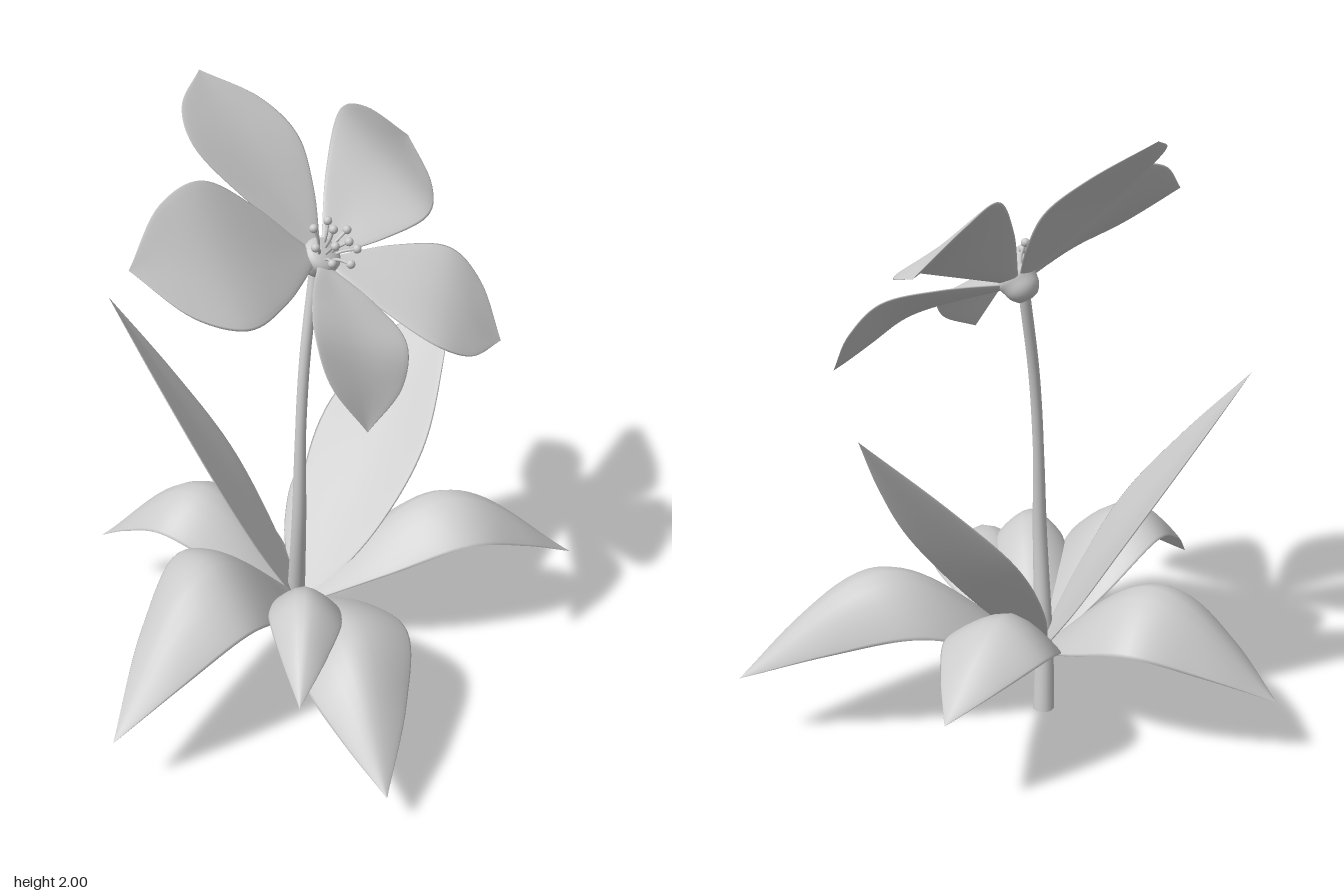
import * as THREE from 'three';

const V = (p) => new THREE.Vector3(...p);

// Edge curve through start, widest point and tip, fuller by the given amounts below and above the widest point
function edgeCurve(start, widest, tip, outward, [low, high]) {
  const plain = new THREE.CatmullRomCurve3([start, widest, tip]);
  return new THREE.CatmullRomCurve3([
    start,
    plain.getPoint(0.25).addScaledVector(outward, low),
    widest,
    plain.getPoint(0.75).addScaledVector(outward, high),
    tip,
  ]);
}

// Thin closed blade around two edge curves and a midrib that meet at the tip
function bladeGeometry(base, [left, mid, right, tip], baseHalfWidth, fullness) {
  const out = left.clone().sub(right).normalize();
  const inv = out.clone().negate();
  const L = edgeCurve(base.clone().addScaledVector(out, baseHalfWidth), left, tip, out, fullness);
  const R = edgeCurve(base.clone().addScaledVector(inv, baseHalfWidth), right, tip, inv, fullness);
  const M = new THREE.CatmullRomCurve3([base, mid, tip]);
  const rows = 32, around = 24, halfThickness = 0.009, pos = [], index = [];
  for (let i = 0; i <= rows; i++) {
    const u = i / rows;
    const l = L.getPoint(u), m = M.getPoint(u), r = R.getPoint(u);
    const normal = out.clone().cross(M.getTangent(u)).normalize();
    const ridge = m.sub(l.clone().add(r).multiplyScalar(0.5));
    for (let j = 0; j < around; j++) {
      const a = (j / around) * Math.PI * 2, s = Math.cos(a);
      const p = l.clone().lerp(r, (1 - s) / 2)
        .addScaledVector(ridge, 1 - Math.abs(s) ** 1.6)
        .addScaledVector(normal, Math.sin(a) * halfThickness * (1 - u ** 6));
      pos.push(p.x, p.y, p.z);
      if (i < rows) {
        const k = i * around, n = (j + 1) % around;
        index.push(k + j, k + n, k + around + j, k + n, k + around + n, k + around + j);
      }
    }
  }
  const geo = new THREE.BufferGeometry();
  geo.setAttribute('position', new THREE.Float32BufferAttribute(pos, 3));
  geo.setIndex(index);
  geo.computeVertexNormals();
  return geo;
}

// Stem tube that narrows upward
function stemGeometry() {
  const path = new THREE.CatmullRomCurve3([
    [-0.05, 0, -0.125], [-0.065, 0.2, -0.103], [-0.08, 0.6, -0.05],
    [-0.065, 0.95, -0.058], [-0.035, 1.2, -0.077], [0.02, 1.46, -0.11],
  ].map(V));
  const rings = 40, sides = 16;
  const geo = new THREE.TubeGeometry(path, rings, 1, sides, false);
  const pos = geo.attributes.position, p = new THREE.Vector3();
  for (let i = 0; i <= rings; i++) {
    const c = path.getPointAt(i / rings);
    const radius = 0.036 - 0.018 * Math.min(1, (i / rings) * 1.6);
    for (let j = 0; j <= sides; j++) {
      const k = i * (sides + 1) + j;
      p.fromBufferAttribute(pos, k).sub(c).multiplyScalar(radius).add(c);
      if (i === 0) p.y = 0;
      pos.setXYZ(k, p.x, p.y, p.z);
    }
  }
  return geo;
}

export function createModel() {
  const model = new THREE.Group();
  const grey = new THREE.MeshStandardMaterial({ color: 0xcccccc, side: THREE.DoubleSide });
  grey.name = 'plain grey';
  const add = (parent, name, geo) => {
    const mesh = new THREE.Mesh(geo, grey);
    mesh.name = name;
    parent.add(mesh);
    return mesh;
  };

  add(model, 'stem', stemGeometry());

  // Leaves: one edge, midrib, other edge, tip
  const leaves = new THREE.Group();
  leaves.name = 'leaves';
  model.add(leaves);
  const crown = V([-0.045, 0.215, -0.1]);
  const leafData = {
    uprightLeftLeaf: [[-0.32, 0.74, -0.17], [-0.235, 0.7, -0.315], [-0.13, 0.7, -0.43], [-0.465, 1.28, -0.605]],
    uprightRightLeaf: [[0.4, 0.72, -0.03], [0.335, 0.7, -0.22], [0.24, 0.74, -0.41], [0.685, 1.2, -0.29]],
    backLeftLeaf: [[-0.42, 0.44, -0.41], [-0.24, 0.545, -0.46], [-0.06, 0.41, -0.57], [-0.485, 0.23, -0.795]],
    leftLeaf: [[-0.43, 0.44, 0.23], [-0.46, 0.58, 0.03], [-0.47, 0.53, -0.17], [-0.91, 0.21, 0.22]],
    rightLeaf: [[0.42, 0.47, 0.24], [0.44, 0.57, 0.04], [0.42, 0.4, -0.12], [0.9, 0.25, 0.2]],
    frontLeaf: [[-0.32, 0.29, 0.4], [-0.14, 0.43, 0.37], [0.08, 0.34, 0.37], [-0.27, 0.13, 0.79]],
    frontLeftLeaf: [[-0.33, 0.43, 0.18], [-0.23, 0.515, 0.24], [-0.14, 0.43, 0.32], [-0.41, 0.34, 0.51]],
    backRightLeaf: [[0.19, 0.45, -0.51], [0.26, 0.54, -0.36], [0.38, 0.44, -0.22], [0.555, 0.35, -0.52]],
  };
  for (const [name, pts] of Object.entries(leafData)) {
    add(leaves, name, bladeGeometry(crown, pts.map(V), 0.035, [0.02, 0]));
  }

  // Petals: two edge points and the tip, gently cupped along the flower axis
  const flower = new THREE.Group();
  flower.name = 'flower';
  model.add(flower);
  const axis = V([0.22, 0.75, 0.63]).normalize();
  const heart = V([0.03, 1.508, -0.09]);
  const petalData = [
    [[-0.34, 1.82, -0.15], [-0.38, 1.49, 0.19], [-0.66, 1.68, 0.02]],
    [[0.115, 1.8, -0.37], [-0.28, 1.86, -0.31], [-0.13, 2.0, -0.55]],
    [[0.39, 1.58, -0.04], [0.28, 1.85, -0.38], [0.57, 1.69, -0.42]],
    [[0.21, 1.32, 0.29], [0.45, 1.48, 0.01], [0.515, 1.22, 0.21]],
    [[-0.23, 1.48, 0.31], [0.1, 1.36, 0.29], [-0.12, 1.19, 0.42]],
  ];
  for (const pts of petalData) {
    const [l, r, tip] = pts.map(V);
    const mid = l.clone().add(r).multiplyScalar(0.5).addScaledVector(axis, -0.02);
    const base = heart.clone().add(tip.clone().sub(heart).setLength(0.03));
    add(flower, 'petal', bladeGeometry(base, [l, mid, r, tip], 0.02, [0, 0.033]));
  }

  // Flower centre, built along +y and turned to the flower axis
  const centre = new THREE.Group();
  centre.name = 'flowerCentre';
  centre.position.copy(heart);
  centre.quaternion.setFromUnitVectors(new THREE.Vector3(0, 1, 0), axis);
  flower.add(centre);
  const profile = [[0, -0.065], [0.03, -0.06], [0.05, -0.038], [0.058, -0.01],
    [0.063, 0.012], [0.052, 0.03], [0.028, 0.04], [0, 0.043]];
  add(centre, 'receptacle', new THREE.LatheGeometry(
    new THREE.SplineCurve(profile.map((p) => new THREE.Vector2(...p))).getPoints(20), 24));

  // Stamens: an outer and an inner ring of filaments with round anthers
  const rings = [{ count: 7, spread: 0.08, height: 0.085 }, { count: 3, spread: 0.035, height: 0.11 }];
  for (const { count, spread, height } of rings) {
    for (let i = 0; i < count; i++) {
      const a = (i / count) * Math.PI * 2 + 0.3;
      const at = (r, y) => new THREE.Vector3(Math.cos(a) * r, y, Math.sin(a) * r);
      const path = new THREE.CatmullRomCurve3(
        [at(spread * 0.35, 0.03), at(spread * 0.6, height * 0.7), at(spread, height)]);
      add(centre, 'filament', new THREE.TubeGeometry(path, 8, 0.005, 8));
      add(centre, 'anther', new THREE.SphereGeometry(0.014, 12, 8)).position.copy(at(spread, height));
    }
  }
  return model;
}
